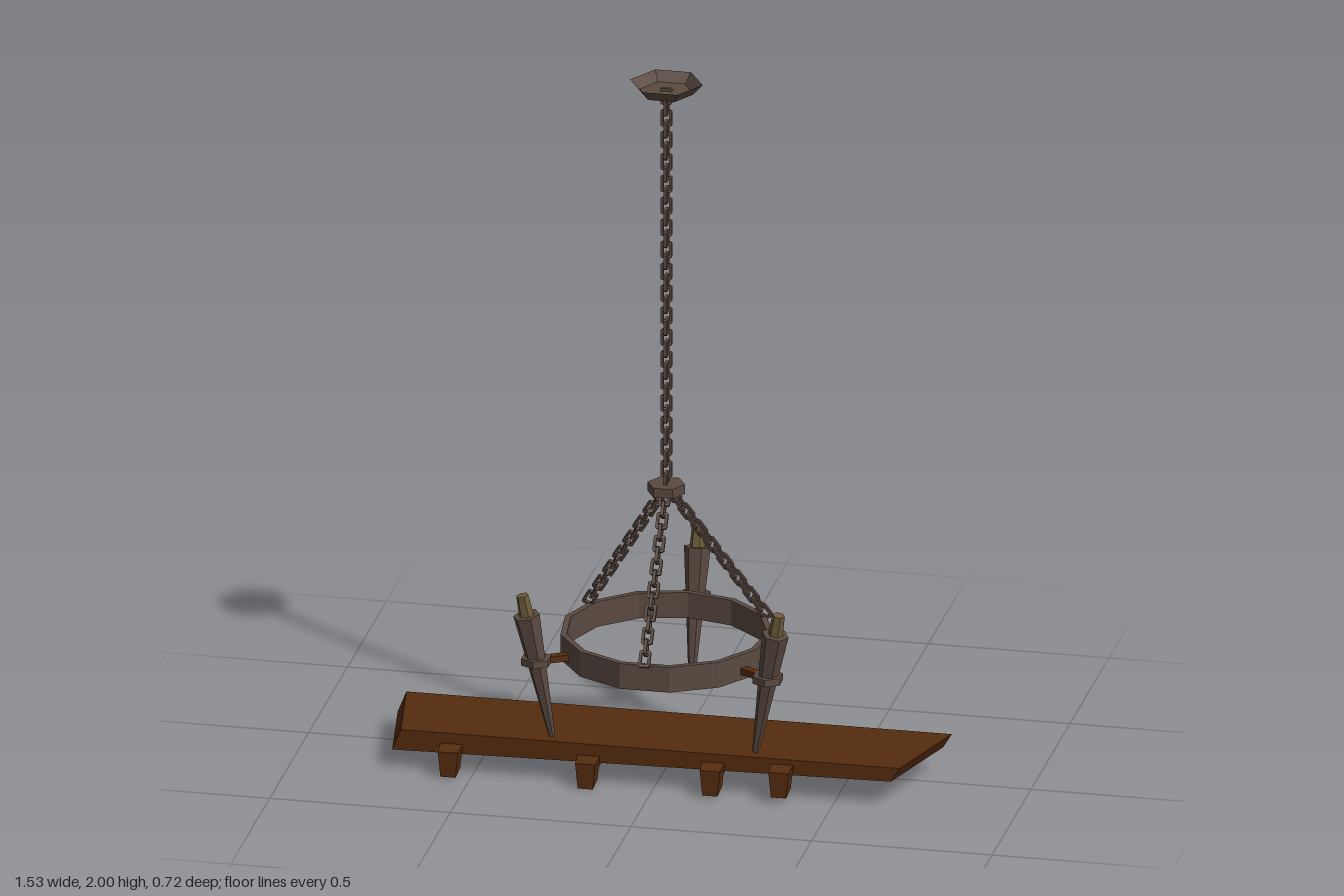
import * as THREE from 'three';

const mat = (name, color, extra = {}) => {
  const m = new THREE.MeshStandardMaterial({ color, flatShading: true, ...extra });
  m.name = name;
  return m;
};

export function createModel() {
  const model = new THREE.Group();
  model.name = 'chandelierAndShelf';
  const iron = mat('iron', 0x5a4a41, { side: THREE.DoubleSide });
  const wood = mat('wood', 0x552c0e);
  const tallow = mat('tallow', 0x6b5a38);

  const add = (parent, name, geo, material, x = 0, y = 0, z = 0) => {
    const m = new THREE.Mesh(geo, material);
    m.name = name;
    m.position.set(x, y, z);
    parent.add(m);
    return m;
  };
  const hex = (top, bottom, h, open = false) =>
    new THREE.CylinderGeometry(top, bottom, h, 6, 1, open).rotateY(Math.PI / 6);
  // Moves the corners of a box by a rule given the sign of each axis
  const shapedBox = (rule) => {
    const g = new THREE.BoxGeometry(2, 2, 2);
    const p = g.attributes.position;
    for (let i = 0; i < p.count; i++) p.setXYZ(i, ...rule(p.getX(i), p.getY(i), p.getZ(i)));
    g.computeVertexNormals();
    return g;
  };

  // Everything hanging shares one vertical axis
  const lamp = new THREE.Group();
  lamp.name = 'chandelier';
  lamp.position.set(0.005, 0, 0.067);
  model.add(lamp);

  // Ceiling dish, open at the top
  add(lamp, 'ceilingDishWall', hex(0.1, 0.074, 0.03, true), iron, 0, 1.985, 0);
  add(lamp, 'ceilingDishFloor', hex(0.074, 0.074, 0.004), iron, 0, 1.972, 0);

  // Chain link: chamfered rectangular frame
  const frame = (Type, w, h, c) => new Type([
    [w - c, -h], [w, c - h], [w, h - c], [w - c, h], [c - w, h], [-w, h - c], [-w, c - h], [c - w, -h],
  ].map(([x, y]) => new THREE.Vector2(x, y)));
  const linkShape = frame(THREE.Shape, 0.016, 0.0235, 0.004);
  linkShape.holes.push(frame(THREE.Path, 0.008, 0.0155, 0.002));
  const linkGeo = new THREE.ExtrudeGeometry(linkShape, { depth: 0.009, bevelEnabled: false })
    .translate(0, 0, -0.0045);

  const chain = (name, from, to) => {
    const g = new THREE.Group();
    g.name = name;
    const dir = to.clone().sub(from);
    const n = Math.round(dir.length() / 0.032);
    g.position.copy(from);
    g.quaternion.setFromUnitVectors(new THREE.Vector3(0, -1, 0), dir.clone().normalize());
    for (let i = 0; i <= n; i++) {
      add(g, 'link', linkGeo, iron, 0, -dir.length() * i / n, 0).rotation.y = (i % 2) * Math.PI / 2;
    }
    lamp.add(g);
  };
  chain('mainChain', new THREE.Vector3(0, 1.96, 0), new THREE.Vector3(0, 0.845, 0));

  // Hub joining the three lower chains
  add(lamp, 'hub', hex(0.052, 0.052, 0.027), iron, 0, 0.822, 0);
  for (let i = 0; i < 3; i++) {
    const a = i * Math.PI * 2 / 3;
    const s = Math.sin(a), c = Math.cos(a);
    chain('ringChain', new THREE.Vector3(s * 0.02, 0.8, c * 0.02),
      new THREE.Vector3(s * 0.278, 0.43, c * 0.278));
  }

  // Thirteen-sided iron hoop
  const hoopProfile = [[0.273, 0.34], [0.29, 0.34], [0.29, 0.413], [0.273, 0.413], [0.273, 0.34]]
    .map(([r, y]) => new THREE.Vector2(r, y));
  add(lamp, 'hoop', new THREE.LatheGeometry(hoopProfile, 13, Math.PI), iron);

  // Three leaning torches on wooden arms
  const holderProfile = [[0.026, -0.01], [0.043, -0.01], [0.043, 0.01], [0.026, 0.01], [0.026, -0.01]]
    .map(([r, y]) => new THREE.Vector2(r, y));
  for (const a of [Math.PI, Math.PI / 3, -Math.PI / 3]) {
    const arm = new THREE.Group();
    arm.name = 'torchArm';
    arm.rotation.y = a;
    add(arm, 'arm', new THREE.BoxGeometry(0.024, 0.018, 0.07), wood, 0, 0.365, 0.313);
    add(arm, 'holder', new THREE.LatheGeometry(holderProfile, 6), iron, 0, 0.365, 0.37);
    const torch = new THREE.Group();
    torch.name = 'torch';
    torch.position.set(0, 0.14, 0.325);
    torch.rotation.x = 0.2;
    add(torch, 'torchBody', hex(0.037, 0.009, 0.367), iron, 0, 0.1835, 0);
    add(torch, 'candle', hex(0.017, 0.021, 0.062), tallow, 0, 0.396, 0);
    arm.add(torch);
    lamp.add(arm);
  }

  // Shelf plank with slanted ends, thinner towards its left
  const shelf = new THREE.Group();
  shelf.name = 'shelf';
  model.add(shelf);
  add(shelf, 'plank', shapedBox((x, y, z) => {
    const end = x < 0 ? (z < 0 ? -0.745 : -0.7) : (z < 0 ? 0.765 : 0.68);
    const under = y < 0 ? -0.024 : 0;
    return [end + under, y > 0 ? 0.115 : x < 0 ? 0.055 : 0.075, z < 0 ? -0.073 : 0.207];
  }), wood);

  // Cross beams with tapered end blocks
  for (const [x, top] of [[-0.56, 0.085], [-0.18, 0.082], [0.165, 0.09], [0.355, 0.1]]) {
    add(shelf, 'crossBeam', new THREE.BoxGeometry(0.028, 0.045, 0.28), wood, x, top - 0.034, 0.067);
    add(shelf, 'endBlock', shapedBox((sx, sy, sz) => [
      x + sx * ((sy > 0 ? 0.031 : 0.024) - (sz > 0 ? 0.003 : 0)),
      sy > 0 ? top - (sz > 0 ? 0.008 : 0) : top - 0.08 + (sz > 0 ? 0 : 0.012),
      sz > 0 ? 0.252 : 0.205,
    ]), wood);
  }
  return model;
}
